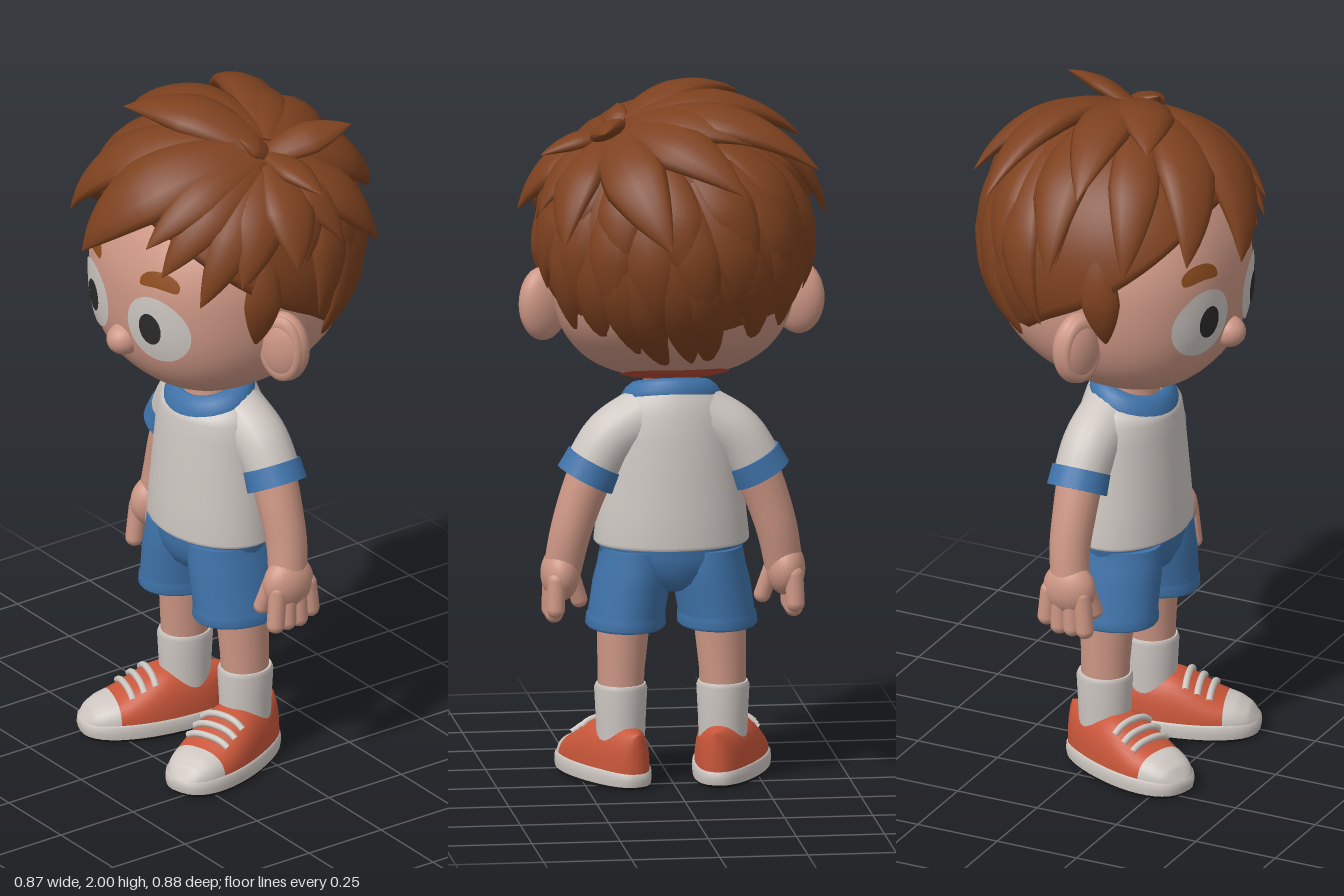
import * as THREE from 'three';

const V = (x, y, z) => new THREE.Vector3(x, y, z);
const mat = (name, color) => Object.assign(new THREE.MeshStandardMaterial({ color }), { name });
const spow = (v, e) => Math.sign(v) * Math.abs(v) ** e;

// Skin over closed rings of points, each counter-clockwise about the travel direction
function loft(rings, caps = true) {
  const mid = r => r.map(() => r.reduce((s, p) => s.add(p), V(0, 0, 0)).divideScalar(r.length));
  const last = rings[rings.length - 1];
  const all = caps ? [mid(rings[0]), rings[0], ...rings, last, mid(last)] : rings;
  const n = all[0].length, idx = [];
  for (let i = 0; i < all.length - 1; i++) for (let j = 0; j < n; j++) {
    const a = i * n + j, b = i * n + (j + 1) % n;
    idx.push(a, b, a + n, b, b + n, a + n);
  }
  const g = new THREE.BufferGeometry().setFromPoints(all.flat());
  g.setIndex(idx);
  g.computeVertexNormals();
  return g;
}
const ring = (n, f) => Array.from({ length: n }, (_, j) => f(j / n * Math.PI * 2));
const lerpTable = (t, x) => {
  let i = 0;
  while (i < t.length - 2 && x > t[i + 1][0]) i++;
  return THREE.MathUtils.mapLinear(x, t[i][0], t[i + 1][0], t[i][1], t[i + 1][1]);
};

// Upright stack of ellipses: [y, rx, rz, cx, cz, tilt]
const stack = (rows, caps = true) => loft(rows.map(([y, rx, rz, cx = 0, cz = 0.045, tilt = 0]) =>
  ring(32, a => V(cx + rx * Math.sin(a), y + tilt * rz * Math.cos(a), cz + rz * Math.cos(a)))), caps);

// Elliptical tube through path points; size(t) gives half-width and half-thickness
function sweep(pts, outward, size, sides = 12) {
  const curve = new THREE.CatmullRomCurve3(pts), N = 16, rings = [];
  for (let i = 0; i <= N; i++) {
    const t = i / N, c = curve.getPointAt(t), T = curve.getTangentAt(t);
    const o = outward(c), side = V().crossVectors(o, T).normalize();
    const out = V().crossVectors(T, side), [w, h] = size(t);
    rings.push(ring(sides, a => c.clone().addScaledVector(side, Math.cos(a) * w).addScaledVector(out, Math.sin(a) * h)));
  }
  return loft(rings);
}
const limb = (pts, r0, r1) => sweep(pts, () => V(0, 0, 1), t => [r0 + (r1 - r0) * t, r0 + (r1 - r0) * t], 20);

// Head surface: rounded box-like egg, underside rising toward the back
const P = 2.4, HX = 0.345, HZ = 0.35, CY = 1.5, CZ = 0.02;
const low = y => Math.max(0, (CY - y) / 0.33);
const rise = z => z * (z > 0 ? 0.1 : 0.25);
const headR = y => y > CY ? Math.sqrt(Math.max(0, 1 - ((y - CY) / 0.34) ** 2))
  : Math.max(0, 1 - low(y) ** 2.6) ** (1 / 2.6);
const headZ = (x, y) => CZ + HZ * Math.max(0, headR(y + 0.035 * low(y)) ** P - (Math.abs(x) / HX) ** P) ** (1 / P);
const headUnder = (x, z) => {
  const rho = ((Math.abs(x) / HX) ** P + (Math.abs(z - CZ) / HZ) ** P) ** (1 / P);
  const l = Math.max(0, 1 - rho ** 2.6) ** (1 / 2.6);
  return CY - 0.33 * l - l * rise(z);
};
const headGeo = () => loft(Array.from({ length: 33 }, (_, i) => {
  const s = Math.sin((i / 32 - 0.5) * Math.PI), y = CY + s * (s > 0 ? 0.34 : 0.33), r = headR(y);
  return ring(48, a => {
    const z = CZ + HZ * r * spow(Math.cos(a), 2 / P);
    return V(HX * r * spow(Math.sin(a), 2 / P), y - low(y) * rise(z), z);
  });
}), false);
// Thin oval laid on the face
const facePatch = (cx, cy, rx, ry, off, e = 1, arch = 0) => loft([1, 0.8, 0.6, 0.4, 0.2, 0].map(k => ring(32, a => {
  const dx = k * rx * spow(Math.cos(a), e), x = cx + dx, y = cy + k * ry * spow(Math.sin(a), e) - arch * dx * dx;
  return V(x, y, headZ(x, y) + off);
})), false);

// Hair volume
const HC = V(0, 1.57, 0.015), HR = V(0.385, 0.37, 0.385);
const CROWN = V(0.2, 1.93, -0.03);
const toUnit = p => p.clone().sub(HC).divide(HR);
function capGeo() {
  const rows = [], N = 20;
  for (let i = -1; i <= N; i++) rows.push(ring(64, a => {
    const rim = 1.26 + 0.5 * (0.5 + 0.5 * Math.cos(a)) ** 1.2;
    const th = Math.acos((rim - HC.y) / HR.y) * (1 - Math.max(i, 0) / N), k = i < 0 ? 0.82 : 1;
    return V(HR.x * k * Math.sin(th) * spow(Math.sin(a), 0.88), HC.y + HR.y * Math.cos(th),
      HC.z + HR.z * k * Math.sin(th) * spow(Math.cos(a), 0.88));
  }));
  return loft(rows, false);
}
// Leaf-shaped lock following the hair volume from the crown to a tip
function lock(tip, width, start = 0.1, root = CROWN) {
  const a = toUnit(root).normalize(), b = toUnit(tip), L = b.length();
  b.normalize();
  const ang = a.angleTo(b), pts = [];
  for (let i = 0; i <= 8; i++) {
    const u = start + (1 - start) * i / 8;
    const d = a.clone().multiplyScalar(Math.sin((1 - u) * ang)).addScaledVector(b, Math.sin(u * ang)).divideScalar(Math.sin(ang));
    pts.push(d.multiplyScalar(0.97 + (L - 0.97) * (i / 8) ** 1.3).multiply(HR).add(HC));
  }
  return sweep(pts, c => c.clone().sub(HC).normalize(), t => {
    const w = width * (0.5 + 0.5 * Math.min(1, 2 * t)) * (1 - t ** 2.6) + 0.001;
    return [w, w * 0.45];
  });
}
const LOCKS = [ // tip x, y, z, half-width, start
  [-0.21, 1.945, 0.2, 0.1, 0.1], [0.15, 1.95, 0.06, 0.05, 0], [0.23, 1.93, -0.27, 0.065, 0], [0.385, 1.83, -0.06, 0.06, 0],
  [0.06, 1.62, -0.44, 0.11, 0.1], [-0.16, 1.76, -0.37, 0.1, 0.1], [-0.2, 1.88, -0.24, 0.09, 0.1], [-0.385, 1.8, -0.22, 0.095, 0.1],
  [-0.37, 1.84, 0.06, 0.1, 0.1], [-0.435, 1.62, 0, 0.095, 0.3], [-0.36, 1.62, 0.2, 0.085, 0.3],
  [-0.26, 1.645, 0.35, 0.11, 0.2], [-0.085, 1.61, 0.435, 0.13, 0.15],
  [0.16, 1.7, 0.39, 0.075, 0.1], [0.2, 1.62, 0.365, 0.08, 0.15], [0.29, 1.54, 0.295, 0.075, 0.2], [0.36, 1.6, 0.2, 0.085, 0.2],
  [0.435, 1.65, 0.06, 0.095, 0.15], [0.345, 1.61, -0.28, 0.095, 0.1], [0.395, 1.68, -0.12, 0.08, 0.1],
];
const TIERS = [ // tip y, count, half-width, reach, first azimuth
  [1.24, 8, 0.075, 1.08, 114], [1.36, 8, 0.085, 1.03, 102], [1.53, 7, 0.09, 1.03, 92],
];

export function createModel() {
  const model = new THREE.Group();
  model.name = 'boy';
  const skin = mat('skin', 0xcc9684), brown = mat('hair brown', 0x7d411f), browMat = mat('brow brown', 0x8c4c1e);
  const white = mat('off white', 0xcdc6c1), blue = mat('blue', 0x3f73aa), red = mat('shoe red', 0xc9563a);
  const black = mat('sole black', 0x1c1c1c), dark = mat('pupil', 0x2b2b2b), collarRed = mat('under head red', 0xba4c36);
  const add = (name, geo, m, parent = model) => {
    const mesh = new THREE.Mesh(geo, m);
    mesh.name = name;
    parent.add(mesh);
    return mesh;
  };
  const ball = (name, x, y, z, rx, ry, rz, m, parent) => {
    const b = add(name, new THREE.SphereGeometry(1, 28, 20), m, parent);
    b.position.set(x, y, z);
    b.scale.set(rx, ry, rz);
    return b;
  };

  // Head and face
  add('head', headGeo(), skin);
  add('underHeadPatch', loft([1, 0.75, 0.5, 0.25, 0].map(k => ring(32, a => {
    const x = k * 0.155 * spow(Math.cos(a), 0.65), z = k * 0.15 * spow(Math.sin(a), 0.65);
    return V(x, headUnder(x, z) - 0.006, z);
  })), false), collarRed);
  ball('nose', 0, 1.345, 0.35, 0.047, 0.046, 0.052, skin);
  add('neck', stack([[1.05, 0.08, 0.075, 0, 0.055], [1.23, 0.075, 0.07, 0, 0.05]]), skin);

  // Hair
  const hair = new THREE.Group();
  hair.name = 'hair';
  model.add(hair);
  add('hairCap', capGeo(), brown, hair);
  for (const [x, y, z, w, s] of LOCKS) add('hairLock', lock(V(x, y, z), w, s), brown, hair);
  for (const [y, n, w, k, a0] of TIERS) for (let i = 0; i < n; i++) {
    const a = THREE.MathUtils.degToRad(a0 + (360 - 2 * a0) * i / (n - 1)), ty = y + 0.11 * (1 + Math.cos(a)) - (i % 2) * 0.02;
    const h = Math.sqrt(1 - ((ty - HC.y) / HR.y) ** 2) * k * HR.x;
    add('backLock', lock(V(h * Math.sin(a), ty, HC.z + h * Math.cos(a)), w, 0.35, V(0.08, 1.93, -0.08)), brown, hair);
  }

  // Shirt and shorts
  add('shirt', stack([[0.69, 0.215, 0.158], [0.7, 0.221, 0.163], [0.8, 0.21, 0.158], [0.9, 0.198, 0.15], [1.0, 0.188, 0.142],
    [1.06, 0.178, 0.133, 0, 0.047, -0.08], [1.09, 0.158, 0.124, 0, 0.052, -0.22], [1.115, 0.125, 0.108, 0, 0.055, -0.32]]), white);
  add('collar', stack([[1.095, 0.143, 0.121, 0, 0.055, -0.31], [1.11, 0.142, 0.12, 0, 0.055, -0.31], [1.132, 0.128, 0.111, 0, 0.055, -0.31],
    [1.147, 0.108, 0.095, 0, 0.055, -0.3], [1.135, 0.085, 0.078, 0, 0.055, -0.3]], false), blue);
  add('shortsSeat', stack([[0.56, 0.04, 0.085], [0.585, 0.1, 0.118], [0.62, 0.175, 0.136], [0.66, 0.203, 0.145], [0.71, 0.205, 0.146]]), blue);

  for (const s of [1, -1]) {
    const side = new THREE.Group();
    side.name = s > 0 ? 'leftSide' : 'rightSide';
    model.add(side);

    // Eye, brow, ear, sideburn
    add('eyeWhite', facePatch(s * 0.147, 1.43, 0.1, 0.1, 0.005), white, side);
    add('pupil', facePatch(s * 0.135, 1.43, 0.037, 0.048, 0.009), dark, side);
    add('eyebrow', facePatch(s * 0.155, 1.586, 0.062, 0.023, 0.007, 0.7, 4), browMat, side);
    const ear = new THREE.Group();
    ear.name = 'ear';
    ear.position.set(s * 0.36, 1.38, 0.055);
    ear.rotation.y = s * 0.45;
    side.add(ear);
    ball('earLobe', 0, 0, 0, 0.078, 0.106, 0.048, skin, ear);
    const rim = add('earRim', new THREE.TorusGeometry(0.052, 0.018, 12, 32), skin, ear);
    rim.scale.set(1, 1.45, 1);
    rim.position.z = 0.018;
    add('sideburn', lock(V(s * 0.325, 1.39, 0.13), 0.065, 0.5, V(s * 0.2, 1.9, 0.05)), brown, side);

    // Sleeve, cuff and arm
    add('sleeve', limb([V(s * 0.08, 1.055, 0.02), V(s * 0.175, 0.998, 0.008), V(s * 0.245, 0.895, 0)], 0.086, 0.077), white, side);
    add('sleeveCuff', limb([V(s * 0.222, 0.935, 0), V(s * 0.25, 0.882, 0)], 0.084, 0.087), blue, side);
    add('arm', limb([V(s * 0.21, 0.96, 0), V(s * 0.265, 0.82, 0), V(s * 0.295, 0.72, 0), V(s * 0.314, 0.62, 0.01)], 0.068, 0.054), skin, side);

    // Hand
    ball('palm', s * 0.32, 0.61, 0.012, 0.055, 0.078, 0.078, skin, side);
    const finger = (name, p, q, r) => {
      const m = add(name, new THREE.CapsuleGeometry(r, p.distanceTo(q), 6, 14), skin, side);
      m.position.copy(p).lerp(q, 0.5);
      m.quaternion.setFromUnitVectors(V(0, 1, 0), q.clone().sub(p).normalize());
    };
    [0.07, 0.03, -0.01, -0.05].forEach((z, i) =>
      finger('finger', V(s * 0.337, 0.6, z * 0.85), V(s * 0.34, 0.5 + (i === 3 ? 0.02 : 0), z), 0.026));
    finger('thumb', V(s * 0.287, 0.61, 0.045), V(s * 0.26, 0.525, 0.06), 0.024);

    // Shorts leg, leg and sock
    add('shortsLeg', stack([[0.45, 0.107, 0.137, s * 0.13], [0.457, 0.113, 0.142, s * 0.13], [0.485, 0.111, 0.141, s * 0.129],
      [0.49, 0.108, 0.139, s * 0.127], [0.58, 0.109, 0.143, s * 0.113], [0.63, 0.107, 0.142, s * 0.102], [0.68, 0.1, 0.138, s * 0.1]]), blue, side);
    add('leg', stack([[0.2, 0.064, 0.068, s * 0.145, 0.035], [0.32, 0.066, 0.07, s * 0.144, 0.037], [0.5, 0.077, 0.08, s * 0.135, 0.04]]), skin, side);
    add('sock', stack([[0.12, 0.068, 0.074, s * 0.145, 0.035], [0.2, 0.071, 0.077, s * 0.145, 0.035],
      [0.275, 0.075, 0.081, s * 0.145, 0.035], [0.287, 0.07, 0.076, s * 0.145, 0.035]]), white, side);

    // Shoe, turned outward
    const shoe = new THREE.Group();
    shoe.name = 'shoe';
    shoe.position.set(s * 0.147, 0, 0.035);
    shoe.rotation.y = s * 0.3;
    side.add(shoe);
    const outline = (y, k) => ring(40, a => V(k * spow(Math.sin(a), 0.8) * (0.102 + 0.018 * Math.cos(a)), y, 0.093 + 0.217 * k * Math.cos(a)));
    add('soleBottom', loft([outline(0, 0.97), outline(0.008, 1)]), black, shoe);
    add('sole', loft([outline(0.008, 1), outline(0.025, 1.02), outline(0.045, 1.01), outline(0.05, 0.96)]), white, shoe);
    const heights = [[-0.124, 0.16], [-0.03, 0.178], [0.07, 0.182], [0.11, 0.165], [0.16, 0.137], [0.2, 0.115], [0.25, 0.1], [0.285, 0.08], [0.31, 0.045]];
    const arch = (z, grow = 0) => {
      const c = THREE.MathUtils.clamp((z - 0.093) / 0.217, -1, 1), w = (1 - c * c) ** 0.4 * (0.097 + 0.018 * c) + grow;
      const h = lerpTable(heights, z) - 0.035 + grow;
      return a => V(w * spow(Math.cos(a), 0.8), 0.035 + h * Math.max(0, Math.sin(a)) ** 0.75, z);
    };
    const body = (z0, z1, ease) => loft(Array.from({ length: 21 }, (_, i) =>
      ring(36, arch(z0 + (z1 - z0) * ease(i / 20 * Math.PI / 2)))), false);
    add('shoeUpper', body(-0.124, 0.216, t => 1 - Math.cos(t)), red, shoe);
    add('toeCap', body(0.216, 0.31, Math.sin), white, shoe);
    for (const z of [0.108, 0.142, 0.176]) {
      const f = arch(z, 0.003);
      add('lace', new THREE.TubeGeometry(new THREE.CatmullRomCurve3(
        [0.28, 0.36, 0.44, 0.5, 0.56, 0.64, 0.72].map(k => f(k * Math.PI))), 20, 0.01, 8), white, shoe);
    }
  }
  return model;
}
